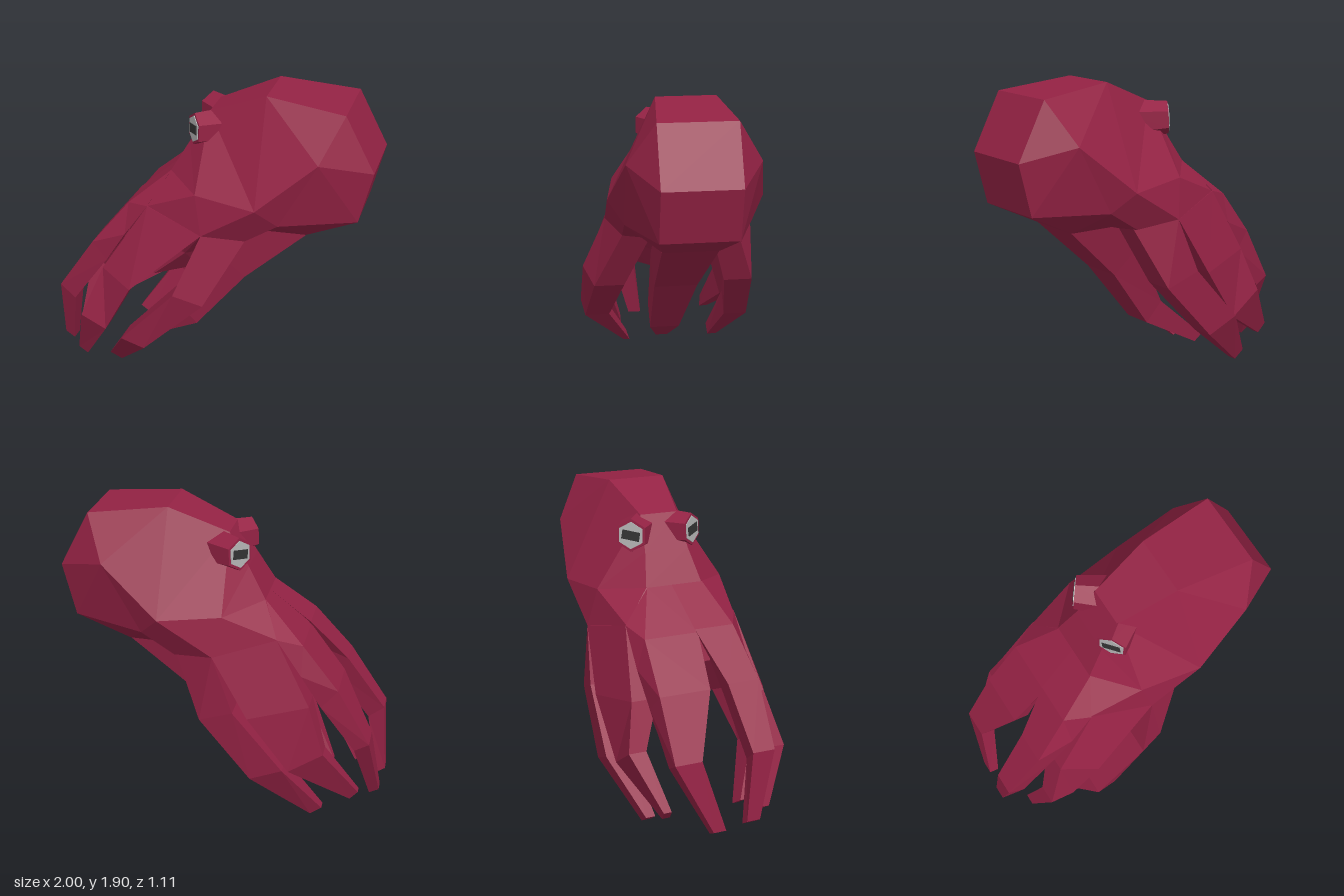
import * as THREE from 'three';

const skin = new THREE.MeshStandardMaterial({ color: 0x942244, flatShading: true });
const eyeWhite = new THREE.MeshStandardMaterial({ color: 0xb4b4b4, flatShading: true });
const pupilDark = new THREE.MeshStandardMaterial({ color: 0x333333, flatShading: true });

// Skins a list of rings (equal, even point counts) and closes both ends with strips.
function loft(rings) {
  const n = rings[0].length;
  const pts = rings.flat().map((p) => new THREE.Vector3(...p));
  const index = [];
  // Split each quad along its shorter diagonal
  const quad = (a, b, c, d) => {
    if (pts[a].distanceTo(pts[c]) < pts[b].distanceTo(pts[d])) index.push(a, b, c, a, c, d);
    else index.push(a, b, d, b, c, d);
  };
  for (let r = 0; r < rings.length - 1; r++) {
    for (let i = 0; i < n; i++) {
      const j = (i + 1) % n;
      quad(r * n + i, r * n + j, (r + 1) * n + j, (r + 1) * n + i);
    }
  }
  const last = (rings.length - 1) * n;
  for (let i = 0; i < n / 2 - 1; i++) {
    quad(i, n - 1 - i, n - 2 - i, i + 1);
    quad(last + i, last + i + 1, last + n - 2 - i, last + n - 1 - i);
  }
  // Turn the faces outward
  let volume = 0;
  for (let i = 0; i < index.length; i += 3) {
    volume += pts[index[i]].dot(pts[index[i + 1]].clone().cross(pts[index[i + 2]]));
  }
  if (volume < 0) index.reverse();
  const indexed = new THREE.BufferGeometry().setFromPoints(pts);
  indexed.setIndex(index);
  const geometry = indexed.toNonIndexed();
  geometry.computeVertexNormals();
  return geometry;
}

function addMesh(parent, name, geometry, material) {
  const mesh = new THREE.Mesh(geometry, material);
  mesh.name = name;
  parent.add(mesh);
  return mesh;
}

// Four-sided arm; each station is the upper and lower corner of its outer face, then its depth in z.
function tentacle(stations) {
  return loft(stations.map(([ux, uy, uz, lx, ly, lz, depth]) => [
    [ux, uy, uz],
    [lx, ly, lz],
    [lx, ly, lz - depth],
    [ux, uy, uz - depth],
  ]));
}

export function createModel() {
  const model = new THREE.Group();
  model.name = 'octopus';
  const mid = -0.045;

  // Mantle, head and the web core between the arms: half sections from top to underside, [x, y, half width]
  const halves = [
    [[0.82, 1.85, 0.23], [1.0, 1.51, 0.23], [0.92, 1.19, 0.23], [0.9, 1.18, 0.22]],
    [[0.34, 1.9, 0.18], [0.7, 1.59, 0.39], [0.47, 1.17, 0.38], [0.6, 1.03, 0.17]],
    [[-0.02, 1.75, 0.12], [0.35, 1.29, 0.47], [0.27, 1.04, 0.375], [0.3, 1.02, 0.17]],
    [[-0.14, 1.55, 0.14], [-0.03, 1.32, 0.41], [0.02, 1.08, 0.46], [0.2, 0.99, 0.18]],
    [[-0.25, 1.36, 0.18], [-0.35, 1.18, 0.35], [-0.12, 0.88, 0.33], [0.08, 0.88, 0.17]],
    [[-0.48, 1.1, 0.1], [-0.52, 0.95, 0.24], [-0.34, 0.68, 0.29], [-0.08, 0.72, 0.17]],
  ];
  const rings = halves.map((half) => [
    ...half.map(([x, y, w]) => [x, y, mid + w]),
    ...half.map(([x, y, w]) => [x, y, mid - w]).reverse(),
  ]);
  addMesh(model, 'mantle', loft(rings), skin);

  // Tentacles, webbed together where their roots meet the head
  const arms = {
    leadingTentacleLeft: [
      [-0.25, 1.36, 0.14, -0.35, 1.18, 0.31, 0.2], [-0.5, 1.15, 0.23, -0.5, 0.97, 0.32, 0.25],
      [-0.73, 0.87, 0.29, -0.63, 0.77, 0.31, 0.2], [-0.97, 0.52, 0.28, -0.87, 0.44, 0.29, 0.14],
      [-1.0, 0.1, 0.18, -0.94, 0.06, 0.18, 0.085],
    ],
    leadingTentacleRight: [
      [-0.25, 1.36, -0.22, -0.35, 1.18, -0.4, -0.2], [-0.5, 1.13, -0.34, -0.5, 0.95, -0.39, -0.34],
      [-0.72, 0.85, -0.34, -0.62, 0.74, -0.36, -0.32], [-0.92, 0.5, -0.33, -0.83, 0.45, -0.33, -0.17],
      [-0.98, 0.06, -0.11, -0.92, 0.03, -0.11, -0.08],
    ],
    sideTentacleLeft: [
      [-0.35, 1.18, 0.31, 0.02, 1.08, 0.415, 0.2], [-0.63, 0.75, 0.38, -0.42, 0.68, 0.49, 0.16],
      [-0.76, 0.43, 0.46, -0.6, 0.35, 0.46, 0.12], [-0.85, 0.09, 0.32, -0.79, 0.05, 0.32, 0.07],
    ],
    sideTentacleRight: [
      [-0.35, 1.18, -0.4, 0.02, 1.08, -0.505, -0.2], [-0.56, 0.78, -0.45, -0.2, 0.71, -0.54, -0.16],
      [-0.66, 0.5, -0.51, -0.45, 0.36, -0.51, -0.11], [-0.87, 0.19, -0.38, -0.82, 0.13, -0.37, -0.05],
    ],
    trailingTentacleLeft: [
      [0.02, 1.08, 0.415, 0.27, 1.04, 0.33, 0.18], [-0.12, 0.72, 0.55, 0.05, 0.64, 0.49, 0.19],
      [-0.46, 0.36, 0.55, -0.32, 0.3, 0.53, 0.16], [-0.65, 0.05, 0.27, -0.58, 0, 0.25, 0.04],
    ],
    trailingTentacleRight: [
      [0.02, 1.08, -0.505, 0.27, 1.04, -0.38, -0.16], [-0.11, 0.74, -0.54, 0.1, 0.66, -0.51, -0.18],
      [-0.42, 0.39, -0.56, -0.22, 0.3, -0.54, -0.15], [-0.65, 0.06, -0.4, -0.58, 0.01, -0.4, -0.06],
    ],
    centreTentacle: [
      [0.27, 1.1, 0.13, 0.6, 1.03, 0.13, 0.34], [0.03, 0.83, 0.13, 0.22, 0.68, 0.13, 0.27],
      [-0.22, 0.4, 0.12, -0.1, 0.28, 0.12, 0.19], [-0.6, 0.08, 0.03, -0.54, 0.04, 0.03, 0.08],
    ],
  };
  for (const [name, stations] of Object.entries(arms)) {
    addMesh(model, name, tentacle(stations), skin);
  }

  // Eyes: hexagonal sockets turned outward, each with a barred pupil
  for (const side of [1, -1]) {
    const eye = new THREE.Group();
    eye.name = side > 0 ? 'leftEye' : 'rightEye';
    eye.position.set(-0.1, 1.65, -0.06 + side * 0.2);
    eye.lookAt(eye.position.clone().add(new THREE.Vector3(-0.8, 0.05, side * 0.6)));
    const socket = addMesh(eye, 'eyeSocket', new THREE.CylinderGeometry(0.1, 0.125, 0.26, 6), skin);
    socket.rotation.x = Math.PI / 2;
    socket.position.z = -0.13;
    const ball = addMesh(eye, 'eyeball', new THREE.CylinderGeometry(0.083, 0.083, 0.01, 6), eyeWhite);
    ball.rotation.x = Math.PI / 2;
    const pupil = addMesh(eye, 'pupil', new THREE.BoxGeometry(0.11, 0.055, 0.01), pupilDark);
    pupil.position.z = 0.004;
    pupil.rotation.z = side * 0.15;
    model.add(eye);
  }
  return model;
}
